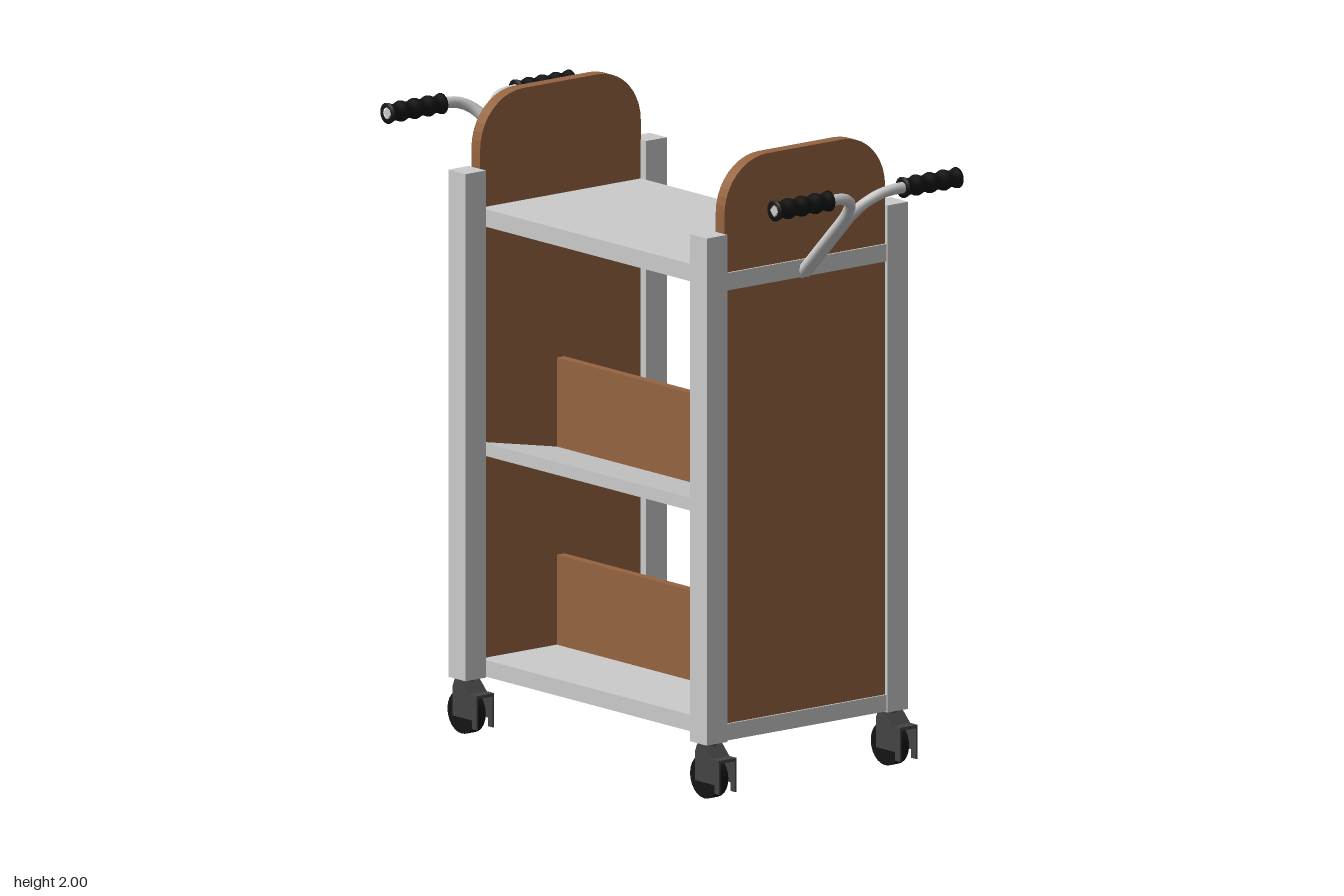
import * as THREE from 'three';

const metal = new THREE.MeshStandardMaterial({ color: 0xcccccc, flatShading: true });
const tubeMetal = new THREE.MeshStandardMaterial({ color: 0xcccccc });
const wood = new THREE.MeshStandardMaterial({ color: 0x956440 });
const rubber = new THREE.MeshStandardMaterial({ color: 0x141414 });
const darkSteel = new THREE.MeshStandardMaterial({ color: 0x444444 });

const MID_Z = -0.01; // centre line of the cart body

function add(parent, name, geometry, material, x = 0, y = 0, z = 0) {
  const mesh = new THREE.Mesh(geometry, material);
  mesh.name = name;
  mesh.position.set(x, y, z);
  parent.add(mesh);
  return mesh;
}

// Box given by its minimum and maximum on each axis
function addBox(parent, name, material, [x0, x1], [y0, y1], [z0, z1]) {
  return add(parent, name, new THREE.BoxGeometry(x1 - x0, y1 - y0, z1 - z0), material,
    (x0 + x1) / 2, (y0 + y1) / 2, (z0 + z1) / 2);
}

function polygon(points) {
  return new THREE.Shape(points.map(([x, y]) => new THREE.Vector2(x, y)));
}

// Extrude a (z, y) outline along x, centred on x = 0
function extrudeAlongX(shape, width, curveSegments = 5) {
  const g = new THREE.ExtrudeGeometry(shape, { depth: width, bevelEnabled: false, curveSegments });
  g.translate(0, 0, -width / 2);
  g.rotateY(-Math.PI / 2);
  return g;
}

// End panel with rounded upper corners
function endPanelGeometry() {
  const r = 0.17, h = 0.32, top = 2;
  const s = new THREE.Shape();
  s.moveTo(-h, 0.2);
  s.lineTo(h, 0.2);
  s.lineTo(h, top - r);
  s.absarc(h - r, top - r, r, 0, Math.PI / 2);
  s.lineTo(-h + r, top);
  s.absarc(-h + r, top - r, r, Math.PI / 2, Math.PI);
  s.closePath();
  return extrudeAlongX(s, 0.042);
}

// Ribbed grip, lying along z from 0 to its length
function gripGeometry(length) {
  const pts = [new THREE.Vector2(0.018, 0)];
  const n = 24;
  for (let i = 0; i <= n; i++) {
    const t = i / n;
    pts.push(new THREE.Vector2(0.029 + 0.004 * Math.cos(t * Math.PI * 8), t * length));
  }
  pts.push(new THREE.Vector2(0.018, length));
  const g = new THREE.LatheGeometry(pts, 16);
  g.rotateX(Math.PI / 2);
  return g;
}

// Pair of bent tubes with grips, built for the +x end
function makeHandle() {
  const handle = new THREE.Group();
  handle.name = 'pushHandle';
  for (const s of [1, -1]) {
    const v = (x, y, z) => new THREE.Vector3(x, y, s * z);
    const path = new THREE.CurvePath();
    path.add(new THREE.LineCurve3(v(0.6, 1.6, 0.01), v(0.8, 1.8, 0.01)));
    path.add(new THREE.QuadraticBezierCurve3(v(0.8, 1.8, 0.01), v(0.895, 1.895, 0.015), v(0.9, 1.9, 0.12)));
    path.add(new THREE.LineCurve3(v(0.9, 1.9, 0.12), v(0.9, 1.9, 0.2)));
    add(handle, 'handleTube', new THREE.TubeGeometry(path, 40, 0.018, 8), tubeMetal);
    const grip = add(handle, 'grip', gripGeometry(0.217), rubber, 0.9, 1.9, s * 0.147);
    if (s < 0) grip.rotation.y = Math.PI;
    const core = add(handle, 'gripCore', new THREE.CylinderGeometry(0.019, 0.019, 0.217, 4), metal,
      0.9, 1.9, s * 0.256);
    core.rotation.x = Math.PI / 2;
  }
  return handle;
}

// Trailing caster: wheel between two fork plates
function makeCaster() {
  const caster = new THREE.Group();
  caster.name = 'caster';
  const wheel = add(caster, 'wheel', new THREE.CylinderGeometry(0.068, 0.068, 0.04, 24), rubber, 0, 0.068, 0);
  wheel.rotation.x = Math.PI / 2;
  const plate = polygon([[-0.025, 0.055], [0.067, 0.055], [0.067, 0.028], [0.09, 0.028], [0.09, 0.135],
    [0.055, 0.135], [0.018, 0.172], [-0.015, 0.172], [-0.025, 0.15]]);
  const plateGeo = new THREE.ExtrudeGeometry(plate, { depth: 0.006, bevelEnabled: false });
  for (const z of [0.029, -0.035]) add(caster, 'forkPlate', plateGeo, darkSteel, 0, 0, z);
  // Bridge joining the plates above the wheel
  const bridge = polygon([[-0.025, 0.14], [0.09, 0.125], [0.09, 0.135], [0.055, 0.135],
    [0.018, 0.172], [-0.015, 0.172], [-0.025, 0.15]]);
  add(caster, 'forkBridge', new THREE.ExtrudeGeometry(bridge, { depth: 0.062, bevelEnabled: false }),
    darkSteel, 0, 0, -0.031);
  add(caster, 'swivelStem', new THREE.CylinderGeometry(0.025, 0.025, 0.03, 12), darkSteel, 0, 0.17, 0);
  return caster;
}

export function createModel() {
  const cart = new THREE.Group();
  cart.name = 'bookCart';

  // Corner posts and casters
  for (const sx of [1, -1]) {
    for (const sz of [1, -1]) {
      const z = MID_Z + sz * 0.36;
      add(cart, 'cornerPost', new THREE.BoxGeometry(0.082, 1.595, 0.082), metal, sx * 0.58, 0.9725, z);
      const caster = makeCaster();
      caster.position.set(sx * 0.583, 0, z);
      cart.add(caster);
    }
  }

  // Flat top and bottom shelves, running on to form the end rails
  const shelfZ = [MID_Z - 0.32, MID_Z + 0.32];
  addBox(cart, 'topShelf', metal, [-0.615, 0.615], [1.593, 1.648], shelfZ);
  addBox(cart, 'bottomShelf', metal, [-0.615, 0.615], [0.178, 0.23], shelfZ);

  // Middle shelf, sloping down to its centre line
  const vee = polygon([[-0.32, 0.872], [0, 0.81], [0.32, 0.872], [0.32, 0.912], [0, 0.85], [-0.32, 0.912]]);
  add(cart, 'middleShelf', extrudeAlongX(vee, 1.14), metal, 0, 0, MID_Z);

  // Central dividers
  for (const [y0, y1] of [[0.22, 0.513], [0.84, 1.133]]) {
    addBox(cart, 'divider', wood, [-0.57, 0.57], [y0, y1], [MID_Z - 0.015, MID_Z + 0.015]);
  }

  // End panels and handles
  for (const sx of [1, -1]) {
    add(cart, 'endPanel', endPanelGeometry(), wood, sx * 0.587, 0, MID_Z);
    const handle = makeHandle();
    handle.position.z = sx > 0 ? MID_Z : 0.04;
    if (sx < 0) handle.rotation.y = Math.PI;
    cart.add(handle);
  }
  return cart;
}
